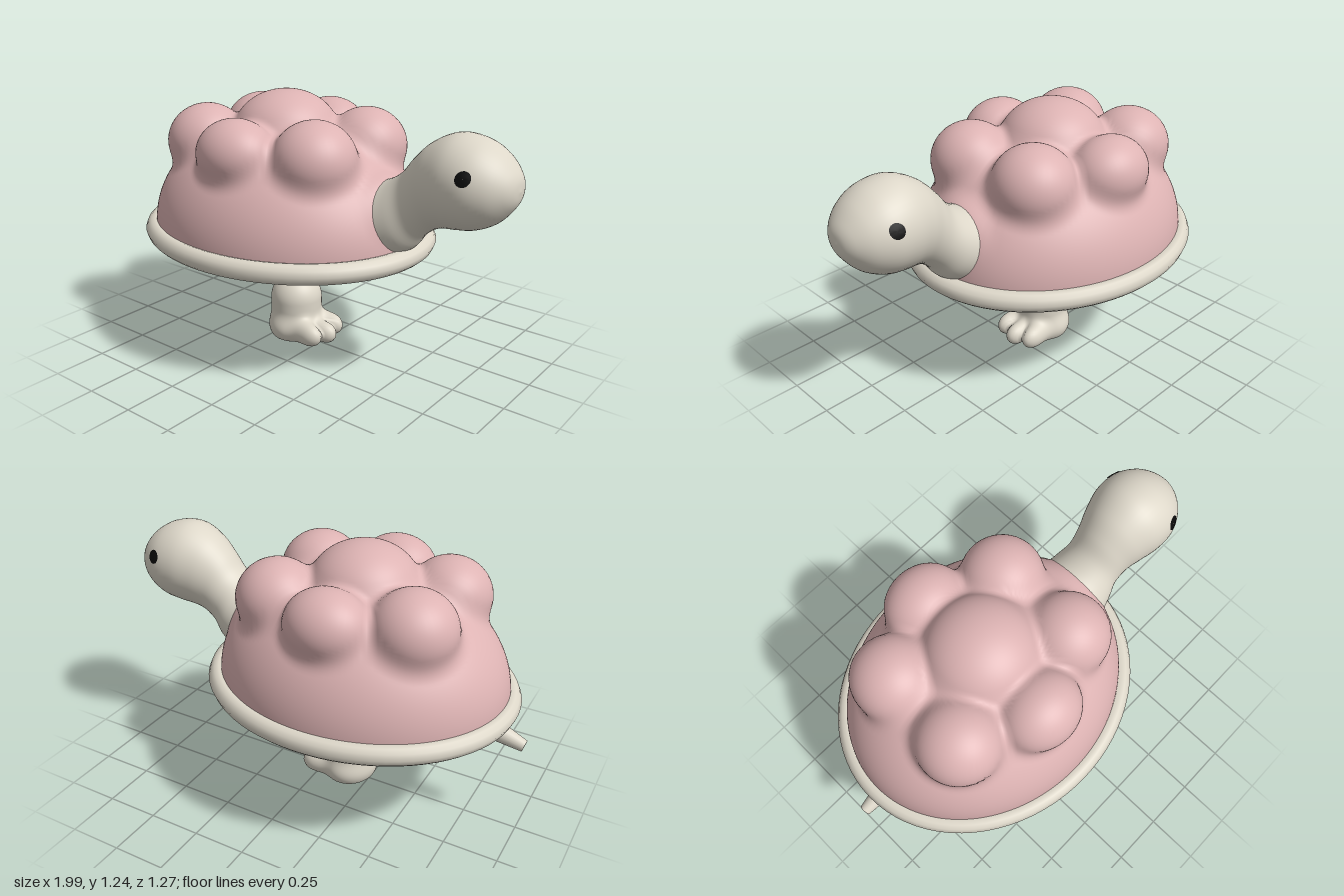
import * as THREE from 'three';

const V = (x, y, z) => new THREE.Vector3(x, y, z);

// approximate distance to an ellipsoid
function ellipsoid(p, c, r) {
  const x = (p.x - c[0]) / r[0], y = (p.y - c[1]) / r[1], z = (p.z - c[2]) / r[2];
  const k0 = Math.hypot(x, y, z), k1 = Math.hypot(x / r[0], y / r[1], z / r[2]);
  return k1 < 1e-6 ? -Math.min(...r) : k0 * (k0 - 1) / k1;
}
function smin(a, b, k) {
  const h = Math.max(k - Math.abs(a - b), 0) / k;
  return Math.min(a, b) - h * h * k * 0.25;
}

// wrap a sphere grid onto a smooth distance field, seen from an inner centre
function blob(centre, field, nu, nv, thetaLength = Math.PI) {
  const g = new THREE.SphereGeometry(1, nu, nv, 0, Math.PI * 2, 0, thetaLength);
  const pos = g.attributes.position, nor = g.attributes.normal, e = 0.003;
  const d = V(), p = V();
  const at = (x, y, z) => field(V(p.x + x, p.y + y, p.z + z));
  for (let i = 0; i < pos.count; i++) {
    d.fromBufferAttribute(pos, i).normalize();
    let t = 1;
    for (let s = 0; s < 120 && t > 0; s++) {
      p.copy(centre).addScaledVector(d, t);
      const f = field(p);
      if (f < 1e-4) break;
      t -= f * 0.7;
    }
    pos.setXYZ(i, p.x, p.y, p.z);
    const n = V(at(e, 0, 0) - at(-e, 0, 0), at(0, e, 0) - at(0, -e, 0), at(0, 0, e) - at(0, 0, -e)).normalize();
    nor.setXYZ(i, n.x, n.y, n.z);
  }
  return g;
}

// loft of elliptical sections: [topX, topY, bottomX, bottomY, halfWidth]
function loft(sections, nu, nv) {
  const curve = k => new THREE.CatmullRomCurve3(sections.map(k));
  const tops = curve(s => V(s[0], s[1], s[4])), bottoms = curve(s => V(s[2], s[3], s[4]));
  const pos = [], idx = [];
  for (let j = 0; j <= nv; j++) {
    const a = tops.getPoint(j / nv), b = bottoms.getPoint(j / nv);
    for (let i = 0; i < nu; i++) {
      const t = i / nu * Math.PI * 2, c = Math.cos(t) / 2;
      pos.push((a.x + b.x) / 2 + (a.x - b.x) * c, (a.y + b.y) / 2 + (a.y - b.y) * c, a.z * Math.sin(t));
      if (j < nv) {
        const k = j * nu + i, l = j * nu + (i + 1) % nu;
        idx.push(k, k + nu, l, l, k + nu, l + nu);
      }
    }
  }
  const g = new THREE.BufferGeometry();
  g.setAttribute('position', new THREE.Float32BufferAttribute(pos, 3));
  g.setIndex(idx);
  g.computeVertexNormals();
  return g;
}

export function createModel() {
  const model = new THREE.Group();
  model.name = 'turtle';
  const mat = (name, color) => Object.assign(new THREE.MeshStandardMaterial({ color }), { name });
  const pink = mat('pink shell', 0xddb3b3);
  const cream = mat('cream skin', 0xddd7c9);
  const black = mat('black eye', 0x0a0a0a);
  cream.side = pink.side = black.side = THREE.DoubleSide;
  const add = (name, geometry, material) => {
    const m = new THREE.Mesh(geometry, material);
    m.name = name;
    model.add(m);
    return m;
  };

  // domed shell with one crown knob and six knobs around it
  const knobs = [[[-0.2, 1.035, 0], [0.25, 0.205, 0.25]]];
  for (const s of [1, -1]) {
    knobs.push([[-0.2, 0.995, 0.345 * s], [0.19, 0.16, 0.165]]);
    for (const e of [1, -1]) knobs.push([[-0.2 + 0.325 * e, 0.985, 0.195 * s], [0.19, 0.18, 0.19]]);
  }
  const shellField = p => {
    let d = ellipsoid(p, [-0.2, 0.59, 0], [0.685, 0.52, 0.58]);
    let k = 10;
    for (const [c, r] of knobs) k = smin(k, ellipsoid(p, c, r), 0.04);
    d = smin(d, k, 0.06);
    return smin(d, ellipsoid(p, [0.35, 0.74, 0], [0.11, 0.17, 0.17]), 0.06);
  };
  add('shell', blob(V(-0.2, 0.59, 0), shellField, 128, 72, Math.PI / 2), pink);

  // oval rim, underside and belly, as lathes stretched to the shell's plan
  const oval = (name, profile, material) => {
    const g = new THREE.LatheGeometry(profile.map(p => new THREE.Vector2(p[0], p[1])), 80);
    const m = add(name, g, material);
    m.scale.set(0.742, 1, 0.636);
    m.position.x = -0.195;
  };
  oval('rim', [[0.6, 0.458], [0.75, 0.485], [0.9, 0.517], [0.965, 0.532], [0.985, 0.545], [1, 0.572],
    [0.985, 0.598], [0.96, 0.614], [0.93, 0.619], [0.89, 0.612]], cream);
  oval('belly', [[0, 0.406], [0.2, 0.411], [0.4, 0.427], [0.52, 0.443], [0.6, 0.458]], pink);

  // small swelling under the front of the belly
  const bump = add('bellyBump', new THREE.SphereGeometry(1, 32, 20), pink);
  bump.scale.set(0.13, 0.045, 0.12);
  bump.position.set(0.255, 0.475, 0);
  bump.rotation.z = 0.15;

  // neck and head
  const head = add('neckAndHead', loft([
    [0.33, 0.89, 0.44, 0.57, 0.18], [0.41, 0.922, 0.52, 0.62, 0.16], [0.47, 0.965, 0.57, 0.685, 0.14],
    [0.53, 1.04, 0.63, 0.732, 0.145], [0.61, 1.115, 0.69, 0.752, 0.17], [0.72, 1.163, 0.75, 0.76, 0.193],
    [0.83, 1.15, 0.83, 0.775, 0.191], [0.91, 1.107, 0.91, 0.815, 0.155], [0.965, 1.05, 0.965, 0.875, 0.1],
    [0.988, 1.01, 0.988, 0.915, 0.055], [0.996, 0.963, 0.996, 0.961, 0.001]], 48, 60), cream);

  // eyes, laid onto the head's surface
  const ray = new THREE.Raycaster();
  for (const s of [1, -1]) {
    const g = new THREE.RingGeometry(0.0005, 0.031, 20, 3);
    const pos = g.attributes.position;
    for (let i = 0; i < pos.count; i++) {
      const x = 0.835 + pos.getX(i), y = 1.025 + pos.getY(i);
      ray.set(V(x, y, s), V(0, 0, -s));
      const hit = ray.intersectObject(head)[0];
      pos.setXYZ(i, x, y, (hit ? hit.point.z : 0.17 * s) + 0.004 * s);
    }
    if (s < 0) g.setIndex([...g.index.array].reverse());
    g.computeVertexNormals();
    add(s > 0 ? 'rightEye' : 'leftEye', g, black);
  }

  // tail: pink root and cream tip
  const taper = (name, a, b, ra, rb, material) => {
    const d = b.clone().sub(a);
    const m = add(name, new THREE.CylinderGeometry(rb, ra, d.length(), 24), material);
    m.position.copy(a).add(b).multiplyScalar(0.5);
    m.quaternion.setFromUnitVectors(V(0, 1, 0), d.normalize());
  };
  taper('tailRoot', V(-0.66, 0.53, 0), V(-0.85, 0.493, 0), 0.06, 0.047, pink);
  taper('tailTip', V(-0.85, 0.493, 0), V(-0.99, 0.452, 0), 0.047, 0.027, cream);

  // single foot below the body, with three toes
  const footField = p => {
    const q = V(p.x + 0.148, p.y - Math.min(Math.max(p.y, 0.08), 0.21), p.z);
    let d = q.length() - 0.126;
    d = smin(d, ellipsoid(p, [-0.148, 0.07, 0], [0.125, 0.1, 0.148]), 0.03);
    let toes = ellipsoid(p, [0.03, 0.062, 0], [0.064, 0.053, 0.045]);
    for (const s of [1, -1]) toes = smin(toes, ellipsoid(p, [0.0, 0.07, 0.085 * s], [0.07, 0.055, 0.045]), 0.02);
    d = smin(d, toes, 0.06);
    return -smin(-d, p.y, 0.03);
  };
  add('foot', blob(V(-0.12, 0.09, 0), footField, 96, 64), cream);

  return model;
}
